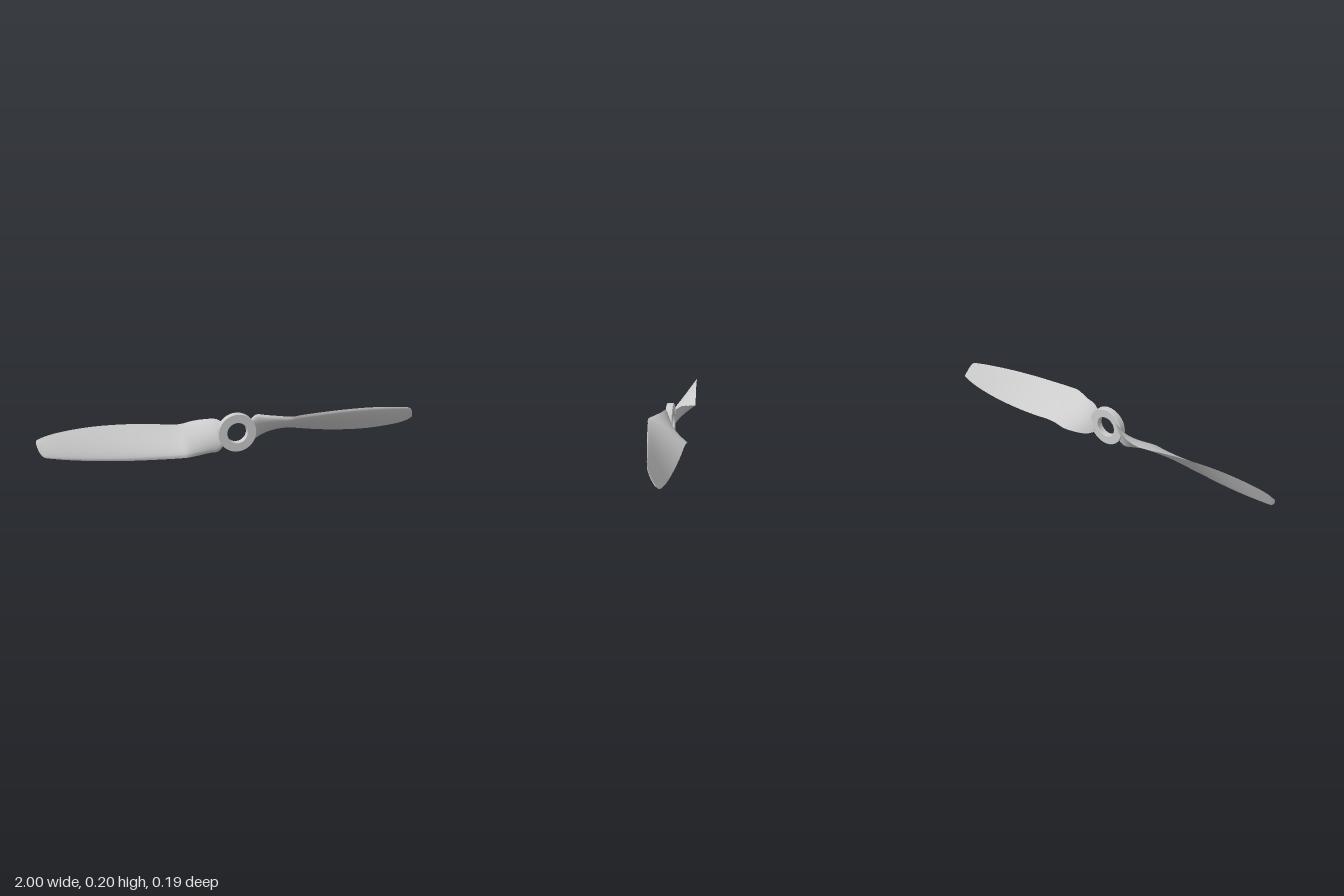
import * as THREE from 'three';

const material = new THREE.MeshStandardMaterial({ color: 0xcccccc });

// Blade stations: x, leading edge y/z, trailing edge y/z, thickness (y measured from the hub axis)
const STATIONS = [
  [0.07, 0.065, 0.018, -0.055, -0.010, 0.016],
  [0.10, 0.090, 0.025, -0.065, -0.035, 0.020],
  [0.15, 0.088, 0.042, -0.057, -0.070, 0.024],
  [0.21, 0.086, 0.068, -0.045, -0.094, 0.027],
  [0.27, 0.084, 0.090, -0.034, -0.094, 0.027],
  [0.32, 0.086, 0.084, -0.036, -0.090, 0.026],
  [0.42, 0.087, 0.071, -0.050, -0.084, 0.024],
  [0.55, 0.086, 0.055, -0.063, -0.075, 0.021],
  [0.70, 0.080, 0.035, -0.069, -0.065, 0.017],
  [0.82, 0.070, 0.020, -0.064, -0.058, 0.013],
  [0.92, 0.057, 0.008, -0.052, -0.051, 0.009],
  [0.97, 0.046, 0.000, -0.040, -0.047, 0.006],
  [0.99, 0.020, -0.012, -0.032, -0.046, 0.004],
  [1.00, -0.010, -0.030, -0.026, -0.046, 0.003],
];

// Twisted blade lofted from sections with a curved front and a nearly flat back
function bladeGeometry(rows = 78, cols = 18) {
  const curve = (f) => new THREE.CatmullRomCurve3(STATIONS.map(f));
  const lead = curve((s) => new THREE.Vector3(s[0], s[1], s[2]));
  const trail = curve((s) => new THREE.Vector3(s[0], s[3], s[4]));
  const positions = [];
  const indices = [];

  const sectionPoint = (t, i, isFront) => {
    const k = t * (STATIONS.length - 1);
    const j = Math.min(Math.floor(k), STATIONS.length - 2);
    const thickness = THREE.MathUtils.lerp(STATIONS[j][5], STATIONS[j + 1][5], k - j);
    const s = (i / cols) ** 2 * 0.6 + (i / cols) * 0.4;
    const a = lead.getPoint(t);
    const b = trail.getPoint(t);
    const chord = b.clone().sub(a);
    const normal = new THREE.Vector3(0, chord.z, -chord.y).normalize();
    const bulge = 2.6 * Math.sqrt(s) * (1 - s) * thickness * (isFront ? 1 : -0.1);
    return a.addScaledVector(chord, s).addScaledVector(normal, bulge);
  };
  const push = (p) => positions.push(p.x, p.y, p.z);

  // Stitches two neighbouring rows of points, flipping the facing when asked
  const stitch = (start, rowCount, flip) => {
    for (let r = 0; r < rowCount; r++) {
      for (let i = 0; i < cols; i++) {
        const a = start + r * (cols + 1) + i;
        const b = a + cols + 1;
        if (flip) indices.push(a, b, a + 1, b, b + 1, a + 1);
        else indices.push(a, a + 1, b, b, a + 1, b + 1);
      }
    }
  };

  // Front and back faces
  for (const isFront of [true, false]) {
    const start = positions.length / 3;
    for (let r = 0; r <= rows; r++) {
      for (let i = 0; i <= cols; i++) push(sectionPoint(r / rows, i, isFront));
    }
    stitch(start, rows, !isFront);
  }
  // Root and tip caps
  for (const t of [0, 1]) {
    const start = positions.length / 3;
    for (const isFront of [true, false]) {
      for (let i = 0; i <= cols; i++) push(sectionPoint(t, i, isFront));
    }
    stitch(start, 1, t === 0);
  }

  const geometry = new THREE.BufferGeometry();
  geometry.setAttribute('position', new THREE.Float32BufferAttribute(positions, 3));
  geometry.setIndex(indices);
  geometry.computeVertexNormals();
  return geometry;
}

// Ring with a slight bevel on its rims
function hubGeometry() {
  const bevel = 0.002;
  const ring = new THREE.Shape().absarc(0, 0, 0.1 - bevel, 0, Math.PI * 2, false);
  ring.holes.push(new THREE.Path().absarc(0, 0, 0.053 + bevel, 0, Math.PI * 2, true));
  const geometry = new THREE.ExtrudeGeometry(ring, {
    depth: 0.035 - 2 * bevel,
    bevelSize: bevel,
    bevelThickness: bevel,
    bevelSegments: 1,
    curveSegments: 48,
  });
  return geometry.translate(0, 0, -0.005 + bevel);
}

export function createModel() {
  const model = new THREE.Group();
  model.name = 'propeller';

  const hub = new THREE.Mesh(hubGeometry(), material);
  hub.name = 'hub';
  hub.position.y = 0.1;
  model.add(hub);

  // Two identical blades, half a turn apart
  const blade = bladeGeometry();
  ['leftBlade', 'rightBlade'].forEach((name, i) => {
    const mesh = new THREE.Mesh(blade, material);
    mesh.name = name;
    mesh.position.y = 0.1;
    mesh.rotation.z = i * Math.PI;
    model.add(mesh);
  });
  return model;
}
